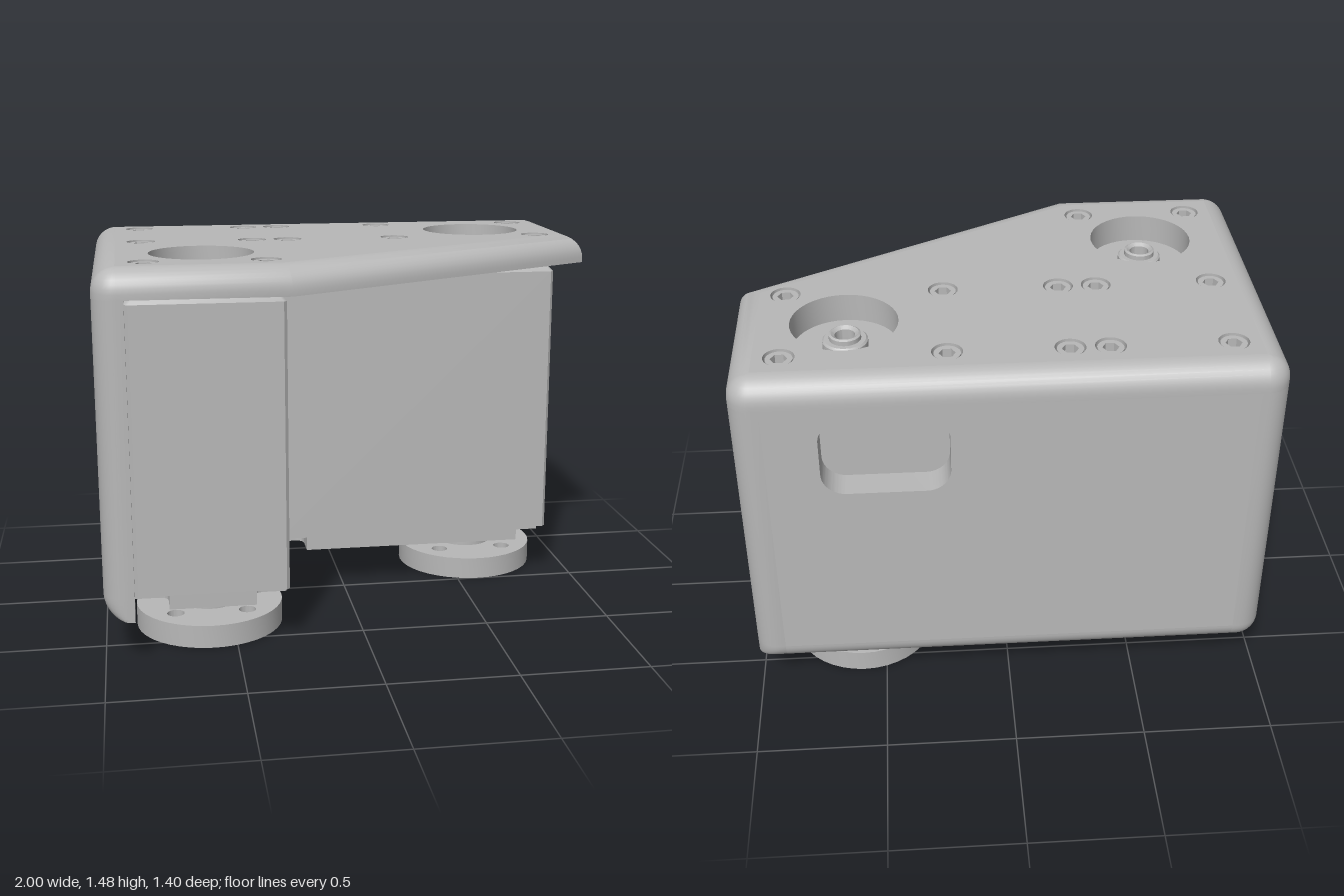
import * as THREE from 'three';
import { toCreasedNormals } from 'three/addons/utils/BufferGeometryUtils.js';

const T = 0.115, R = 0.09;            // cover wall thickness, edge radius
const Y0 = 0.17, Y1 = 1.37, Y2 = 1.48; // body bottom, body top, cover top
const FEET = [[0.59, -0.29], [-0.59, 0.29]];

export function createModel() {
  const model = new THREE.Group();
  const grey = new THREE.MeshStandardMaterial({ color: 0xb8b8b8 });
  grey.name = 'machined grey';

  const add = (name, geo, parent = model) => {
    const m = new THREE.Mesh(toCreasedNormals(geo, 0.6), grey);
    m.name = name;
    parent.add(m);
    return m;
  };
  const group = (name, x = 0, y = 0, z = 0) => {
    const g = new THREE.Group();
    g.name = name;
    g.position.set(x, y, z);
    model.add(g);
    return g;
  };
  const circle = (x, s, r) => new THREE.Path().absarc(x, s, r, 0, Math.PI * 2, true);

  // Plan shape (x, -z) raised from y0 to y1
  const slab = (shape, y0, y1) => new THREE.ExtrudeGeometry(shape, { depth: y1 - y0, bevelEnabled: false, curveSegments: 20 })
    .rotateX(-Math.PI / 2).translate(0, y0, 0);

  // Skin over convex plan rings [{ pts: [[x, -z]...], y }], closed by fans where asked
  const loft = (rings, caps = true) => {
    const pos = [], idx = [], n = rings[0].pts.length;
    rings.forEach(({ pts, y }) => pts.forEach(([x, s]) => pos.push(x, y, -s)));
    for (let i = 0; i < rings.length - 1; i++) for (let j = 0; j < n; j++) {
      const a = i * n + j, b = i * n + (j + 1) % n;
      idx.push(a, b, b + n, a, b + n, a + n);
    }
    if (caps) for (let j = 1; j < n - 1; j++) {
      const k = (rings.length - 1) * n;
      idx.push(0, j + 1, j, k, k + j, k + j + 1);
    }
    const g = new THREE.BufferGeometry();
    g.setAttribute('position', new THREE.Float32BufferAttribute(pos, 3));
    g.setIndex(idx);
    return g.toNonIndexed();
  };
  const arc = (cx, cs, r, a0) => Array.from({ length: 9 }, (_, i) => {
    const a = a0 + i * Math.PI / 16;
    return [cx + r * Math.cos(a), cs + r * Math.sin(a)];
  });

  // Top plate outline, inset by d; the two corners of the slanted front stay sharp
  const outline = d => {
    const q = Math.max(R - d, 0.002), len = Math.hypot(1.29, 0.7);
    const off = d * len;               // slanted edge: 0.7 x - 1.29 s = 0.7 - off
    return [
      [(0.7 - off + 1.29 * (d - 0.7)) / 0.7, d - 0.7],
      [1 - d, (0.7 * (1 - d) - 0.7 + off) / 1.29],
      ...arc(1 - R, 0.7 - R, q, 0),
      ...arc(R - 1, 0.7 - R, q, Math.PI / 2),
      ...arc(R - 1, R - 0.7, q, Math.PI),
    ];
  };
  const screws = [];
  for (const z of [-0.52, -0.075]) for (const x of [-0.81, -0.365, -0.22, 0.22, 0.815]) screws.push([x, z]);
  screws.push([-0.81, 0.515], [-0.365, 0.515]);

  // Top plate: flat core with holes, and a rounded rim around it
  const core = new THREE.Shape(outline(R).map(p => new THREE.Vector2(...p)));
  FEET.forEach(([x, z]) => core.holes.push(circle(x, -z, 0.2)));
  screws.forEach(([x, z]) => core.holes.push(circle(x, -z, 0.057)));
  add('topPlate', slab(core, Y1, Y2));
  const rim = [{ pts: outline(R), y: Y1 }, { pts: outline(0), y: Y1 }];
  for (let i = 0; i <= 8; i++) {
    const a = i * Math.PI / 16;
    rim.push({ pts: outline(R * (1 - Math.cos(a))), y: Y2 - R + R * Math.sin(a) });
  }
  add('topRim', loft(rim, false));

  // Socket screws sunk into the top plate
  const head = new THREE.Shape().absarc(0, 0, 0.049, 0, Math.PI * 2);
  head.holes.push(new THREE.Path(Array.from({ length: 6 }, (_, i) =>
    new THREE.Vector2(0.031 * Math.cos(-i * Math.PI / 3), 0.031 * Math.sin(-i * Math.PI / 3)))));
  screws.forEach(([x, z]) => add('screw', slab(head, 1.4, 1.474)).position.set(x, 0, z));

  // Back and side walls, each with a hand slot and a rounded lower edge
  const wall = (name, len, slotU, x, z, turn) => {
    const g = group(name, x, 0, z);
    g.rotation.y = turn;
    const panel = new THREE.Shape([[-len / 2, Y0 + R], [len / 2, Y0 + R], [len / 2, Y1], [-len / 2, Y1]]
      .map(p => new THREE.Vector2(...p)));
    const slot = new THREE.Path(), w = 0.235, r = 0.09;
    slot.absarc(slotU + w - r, 1.32 - r, r, 0, Math.PI / 2);
    slot.absarc(slotU - w + r, 1.32 - r, r, Math.PI / 2, Math.PI);
    slot.absarc(slotU - w + r, 1.0 + r, r, Math.PI, Math.PI * 1.5);
    slot.absarc(slotU + w - r, 1.0 + r, r, Math.PI * 1.5, Math.PI * 2);
    panel.holes.push(slot);
    add('wallPanel', new THREE.ExtrudeGeometry(panel, { depth: T, bevelEnabled: false }), g);
    const edge = new THREE.Shape().moveTo(0, Y0 + R).lineTo(0, Y0).lineTo(T - R, Y0);
    edge.absarc(T - R, Y0 + R, R, -Math.PI / 2, 0);
    add('wallLowerEdge', new THREE.ExtrudeGeometry(edge, { depth: len, bevelEnabled: false, curveSegments: 8 })
      .rotateY(-Math.PI / 2).translate(len / 2, 0, 0), g);
  };
  wall('backWall', 2 - 2 * T, -0.455, 0, T - 0.7, Math.PI);
  wall('sideWall', 1.4 - 2 * T, 0.17, T - 1, 0, -Math.PI / 2);

  // Rounded upright corners; kx and ks say which lower edges are rounded too
  const post = (x, z, turn, kx, ks) => {
    const rings = [];
    for (let i = 0; i <= 8; i++) {
      const a = i * Math.PI / 16, d = R * (1 - Math.sin(a)), q = Math.max(R - d, 0.002);
      const ex = T - kx * d, es = T - ks * d;
      rings.push({ pts: [[0, 0], [ex, 0], ...arc(ex - q, es - q, q, 0), [0, es]], y: Y0 + R * (1 - Math.cos(a)) });
    }
    rings.push({ pts: rings[8].pts, y: Y1 });
    const m = add('wallCorner', loft(rings));
    m.position.set(x, 0, z);
    m.rotation.y = turn;
  };
  post(1 - T, T - 0.7, 0, 0, 1);
  post(T - 1, T - 0.7, Math.PI / 2, 1, 1);
  post(T - 1, 0.7 - T, Math.PI, 1, 0);

  // Two weight blocks with chamfered edges and notched lower corners
  const block = (name, x0, x1, z0, z1, foot) => {
    const g = group(name);
    const ring = (d, y) => {
      const c = 0.012, a = x0 + d, b = x1 - d, s = -z1 + d, t = -z0 - d;
      return { y, pts: [[a + c, s], [b - c, s], [b, s + c], [b, t - c], [b - c, t], [a + c, t], [a, t - c], [a, s + c]] };
    };
    add('blockBody', loft([ring(0, 0.225), ring(0, 1.335), ring(0.032, Y1)]), g);
    const n = 0.128, r = 0.04, s0 = -z1, s1 = -z0;
    const base = new THREE.Shape().moveTo(x0 + n, s0).lineTo(x1 - n, s0)
      .lineTo(x1 - n, s0 + n - r).quadraticCurveTo(x1 - n, s0 + n, x1 - n + r, s0 + n)
      .lineTo(x1, s0 + n).lineTo(x1, s1 - n)
      .lineTo(x1 - n + r, s1 - n).quadraticCurveTo(x1 - n, s1 - n, x1 - n, s1 - n + r)
      .lineTo(x1 - n, s1).lineTo(x0 + n, s1)
      .lineTo(x0 + n, s1 - n + r).quadraticCurveTo(x0 + n, s1 - n, x0 + n - r, s1 - n)
      .lineTo(x0, s1 - n).lineTo(x0, s0 + n)
      .lineTo(x0 + n - r, s0 + n).quadraticCurveTo(x0 + n, s0 + n, x0 + n, s0 + n - r)
      .lineTo(x0 + n, s0);
    // Small threaded holes along the long edges
    const alongX = x1 - x0 > z1 - z0;
    for (const f of [0.18, 0.39, 0.61, 0.82]) for (const e of [0, 1]) {
      const x = alongX ? x0 + f * (x1 - x0) : (e ? x1 - 0.06 : x0 + 0.06);
      const s = alongX ? (e ? s1 - 0.06 : s0 + 0.06) : s0 + f * (s1 - s0);
      if (Math.hypot(x - foot[0], s + foot[1]) > 0.225) base.holes.push(circle(x, s, 0.02));
    }
    add('blockBase', slab(base, Y0, 0.225), g);
  };
  block('wideBlock', -0.288, 0.88, T - 0.7, 0.005, FEET[0]);
  block('deepBlock', T - 1, -0.298, T - 0.7, 0.59, FEET[1]);

  // Levelling feet, with the adjuster tops showing inside the top plate wells
  const lathe = pts => new THREE.LatheGeometry(pts.map(p => new THREE.Vector2(...p)), 48);
  const disc = new THREE.Shape().absarc(0, 0, 0.29, 0, Math.PI * 2);
  for (const x of [-0.14, 0.14]) for (const s of [-0.14, 0.14]) disc.holes.push(circle(x, s, 0.034));
  disc.holes.push(circle(0, 0, 0.095));
  for (const [x, z] of FEET) {
    const g = group('levellingFoot', x, 0, z);
    add('footDisc', slab(disc, 0, 0.09), g);
    add('footStem', lathe([[0, 0.01], [0.028, 0.01], [0.028, 0.035], [0.117, 0.035], [0.117, 0.137],
      [0.083, 0.137], [0.083, 0.156], [0.19, 0.156], [0.19, 0.172], [0, 0.172]]), g);
    add('wellRing', lathe([[0.201, Y1], [0.201, 1.385], [0.19, 1.385], [0.19, Y1]].reverse()), g)
      .geometry.computeBoundingSphere();
    add('adjusterTop', lathe([[0.085, Y1], [0.085, 1.405], [0.078, 1.412], [0.06, 1.412], [0.06, 1.43],
      [0.052, 1.435], [0.038, 1.425], [0.038, 1.38], [0, 1.38]]), g);
  }
  return model;
}
